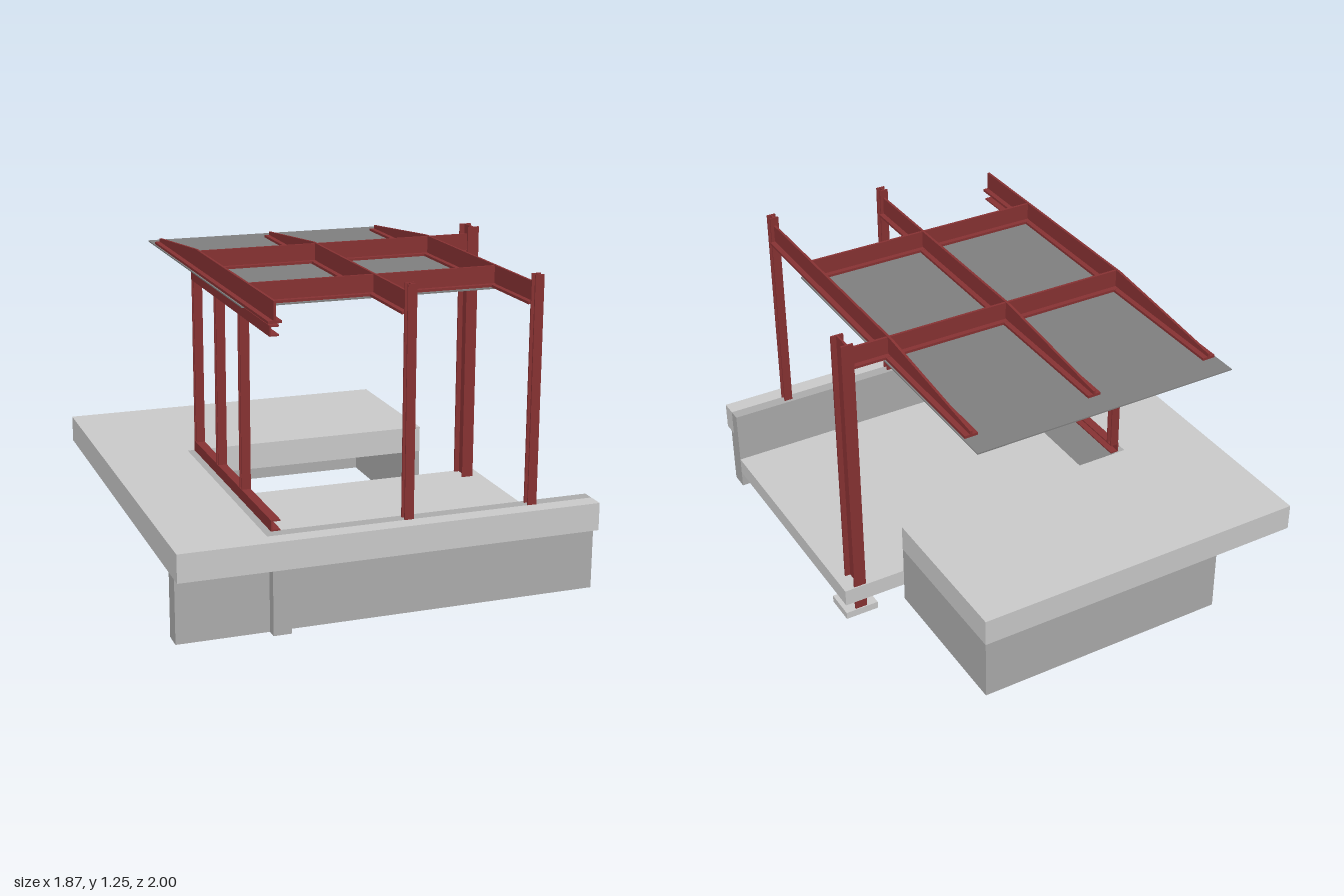
import * as THREE from 'three';

const concrete = new THREE.MeshStandardMaterial({ color: 0xcccccc });
const wallGrey = new THREE.MeshStandardMaterial({ color: 0xadadad });
const steel = new THREE.MeshStandardMaterial({ color: 0x883233 });
const roofGrey = new THREE.MeshStandardMaterial({ color: 0x808080 });

// Box given by its limits on each axis
function block(parent, name, material, [x0, x1], [y0, y1], [z0, z1]) {
  const mesh = new THREE.Mesh(new THREE.BoxGeometry(x1 - x0, y1 - y0, z1 - z0), material);
  mesh.position.set((x0 + x1) / 2, (y0 + y1) / 2, (z0 + z1) / 2);
  mesh.name = name;
  parent.add(mesh);
  return mesh;
}

function part(parent, name) {
  const group = new THREE.Group();
  group.name = name;
  parent.add(group);
  return group;
}

// Upright H-section: flanges face front and back, joined by a web
function hPost(parent, name, x, z, width, depth, y0, y1, t) {
  const post = part(parent, name);
  const xs = [x - width / 2, x + width / 2];
  for (const s of [-1, 1]) {
    const c = z + s * (depth - t) / 2;
    block(post, 'flange', steel, xs, [y0, y1], [c - t / 2, c + t / 2]);
  }
  block(post, 'web', steel, [x - t / 2, x + t / 2], [y0, y1], [z - depth / 2 + t, z + depth / 2 - t]);
}

// Inverted T rafter whose web tapers towards the back
function rafter(parent, x, front) {
  const beam = part(parent, 'rafter');
  const back = -0.835, y = 1.133, top = 1.215, t = 0.01;
  block(beam, 'flange', steel, [x - 0.026, x + 0.026], [y, y + t], [back, front]);
  const shape = new THREE.Shape([
    [back, y + t], [front, y + t], [front, top], [-0.24, top], [back, 1.157],
  ].map(([a, b]) => new THREE.Vector2(a, b)));
  const geometry = new THREE.ExtrudeGeometry(shape, { depth: t, bevelEnabled: false });
  geometry.translate(0, 0, -t / 2).rotateY(-Math.PI / 2);
  const web = new THREE.Mesh(geometry, steel);
  web.name = 'web';
  web.position.x = x;
  beam.add(web);
}

// Inverted T beam running across the rafters
function crossBeam(parent, z, x0, x1) {
  const beam = part(parent, 'crossBeam');
  block(beam, 'flange', steel, [x0, x1], [1.134, 1.144], [z - 0.026, z + 0.026]);
  block(beam, 'web', steel, [x0, x1], [1.144, 1.213], [z - 0.005, z + 0.005]);
}

// Channel rail with its back to the right side and its mouth to the left
function channel(parent, name, y0, y1) {
  const rail = part(parent, name);
  const z = [-0.255, 0.79], t = 0.006;
  block(rail, 'web', steel, [-0.452, -0.452 + t], [y0, y1], z);
  block(rail, 'lowerFlange', steel, [-0.452 + t, -0.416], [y0, y0 + t], z);
  block(rail, 'upperFlange', steel, [-0.452 + t, -0.416], [y1 - t, y1], z);
}

export function createModel() {
  const model = new THREE.Group();
  model.name = 'pavilion';
  const body = part(model, 'pavilionBody');
  body.rotation.y = THREE.MathUtils.degToRad(7);

  // C-shaped upper slab around the sunken floor
  const outline = [
    [-0.835, 0.9], [-0.835, -0.919], [0.57, -0.919], [0.57, -0.26],
    [-0.48, -0.26], [-0.48, 0.832], [0.828, 0.832], [0.828, 0.9],
  ].map(([x, z]) => new THREE.Vector2(x, -z));
  const slabGeometry = new THREE.ExtrudeGeometry(new THREE.Shape(outline), { depth: 0.11, bevelEnabled: false });
  slabGeometry.rotateX(-Math.PI / 2);
  const slab = new THREE.Mesh(slabGeometry, concrete);
  slab.name = 'upperSlab';
  slab.position.y = 0.25;
  body.add(slab);

  // Sunken floor
  block(body, 'sunkenFloor', concrete, [-0.43, 0.828], [0.07, 0.14], [-0.26, 0.783]);

  // Supporting walls, hollow under the back slab
  const walls = part(body, 'walls');
  block(walls, 'frontWall', wallGrey, [-0.835, 0.828], [0, 0.25], [0.783, 0.858]);
  block(walls, 'frontWallTop', wallGrey, [-0.48, 0.828], [0.25, 0.36], [0.783, 0.832]);
  block(walls, 'sideWall', wallGrey, [-0.48, -0.41], [0, 0.25], [-0.919, -0.26]);
  block(walls, 'sideWall', wallGrey, [-0.48, -0.43], [0, 0.36], [-0.26, 0.783]);
  block(walls, 'frontPier', wallGrey, [-0.48, -0.41], [0, 0.25], [0.858, 0.9]);
  block(walls, 'backWall', wallGrey, [-0.41, 0.57], [0, 0.25], [-0.919, -0.85]);
  block(walls, 'endWall', wallGrey, [0.495, 0.57], [0, 0.25], [-0.85, -0.262]);

  // Thin roof panel hung below the beams
  block(body, 'roofPanel', roofGrey, [-0.462, 0.607], [1.128, 1.133], [-0.933, 0.487]);

  // Roof beams
  const frame = part(body, 'roofFrame');
  rafter(frame, -0.43, 0.785);
  rafter(frame, 0.072, 0.797);
  rafter(frame, 0.575, 0.797);
  crossBeam(frame, -0.217, -0.43, 0.757);
  crossBeam(frame, 0.452, -0.43, 0.575);

  // Main column on its base plate, and the slim front posts
  hPost(body, 'mainColumn', 0.76, -0.21, 0.05, 0.09, 0.03, 1.25, 0.008);
  block(body, 'basePlate', concrete, [0.69, 0.828], [0, 0.03], [-0.26, -0.135]);
  for (const x of [0.072, 0.575]) hPost(body, 'frontPost', x, 0.816, 0.036, 0.036, 0.36, 1.25, 0.006);

  // Side frame with rails and three posts
  const sideFrame = part(body, 'sideFrame');
  channel(sideFrame, 'bottomRail', 0.361, 0.404);
  channel(sideFrame, 'topRail', 1.088, 1.128);
  for (const z of [-0.238, 0.088, 0.41]) hPost(sideFrame, 'sidePost', -0.433, z, 0.036, 0.032, 0.404, 1.088, 0.006);

  return model;
}
